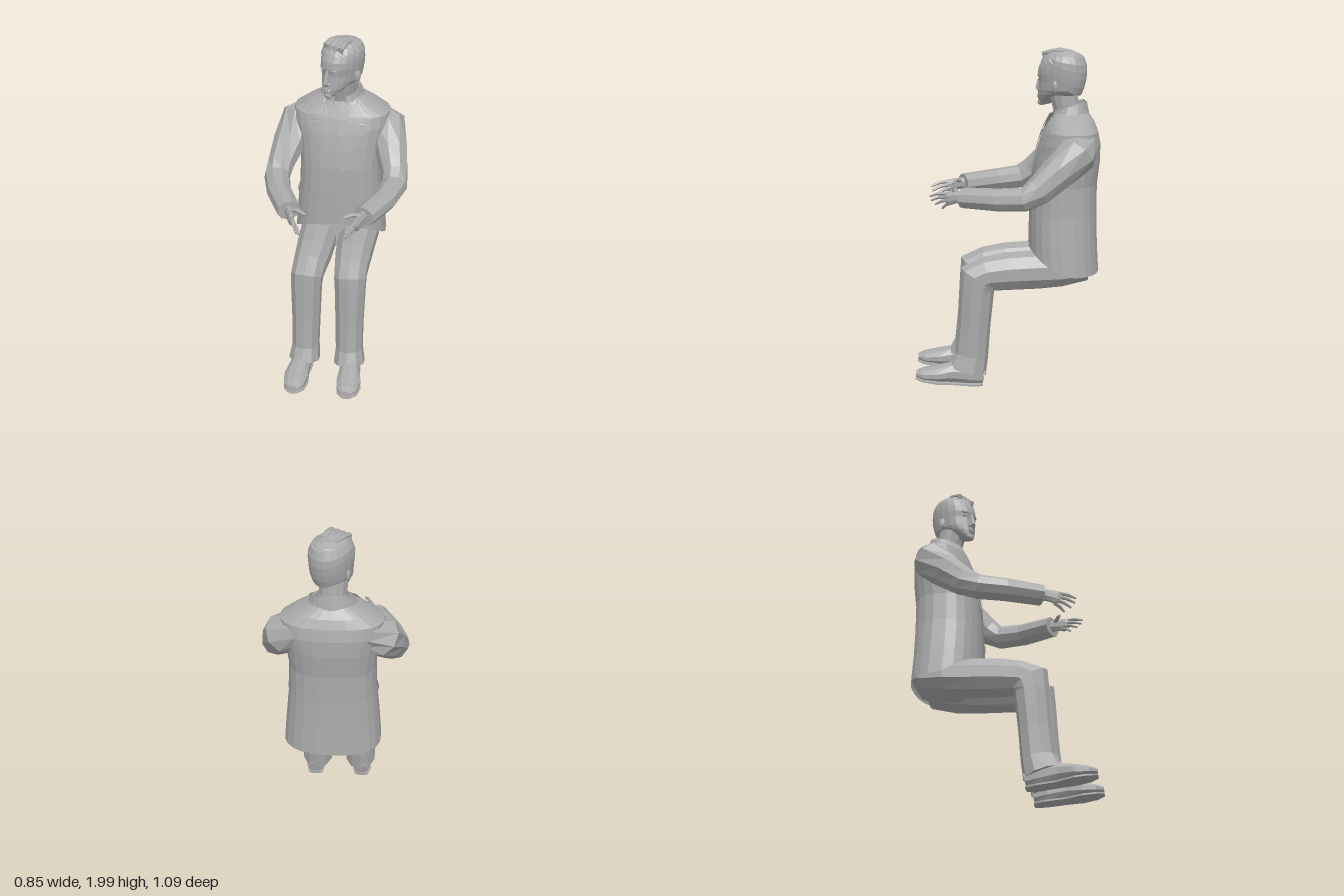
import * as THREE from 'three';
import { ParametricGeometry } from 'three/addons/geometries/ParametricGeometry.js';

const V = (x, y, z) => new THREE.Vector3(x, y, z);
const X = V(1, 0, 0), Y = V(0, 1, 0);
const lerp = THREE.MathUtils.lerp;
const spow = (a, p) => Math.sign(a) * Math.abs(a) ** p;
const front = t => Math.max(0, Math.cos(t));   // 1 at the front, 0 from the sides back

export function createModel() {
  const grey = new THREE.MeshStandardMaterial({ color: 0xaaaaaa, side: THREE.DoubleSide });
  const model = new THREE.Group();

  // faceted mesh
  const add = (geo, name, parent = model) => {
    const flat = geo.index ? geo.toNonIndexed() : geo;
    flat.computeVertexNormals();
    const mesh = new THREE.Mesh(flat, grey);
    mesh.name = name;
    parent.add(mesh);
    return mesh;
  };
  const patch = (nu, nv, fn) => new ParametricGeometry((u, v, out) => out.copy(fn(u, v)), nu, nv);

  // capped tube through [x, y, z, radius along hint, other radius]
  const limb = (path, hint, seg = 8) => {
    const rings = path.map((p, i) => {
      const a = path[Math.max(0, i - 1)], b = path[Math.min(path.length - 1, i + 1)];
      const t = V(b[0] - a[0], b[1] - a[1], b[2] - a[2]).normalize();
      const u = hint.clone().addScaledVector(t, -hint.dot(t)).normalize();
      const w = t.clone().cross(u);
      return { c: V(p[0], p[1], p[2]), u: u.multiplyScalar(p[3]), w: w.multiplyScalar(p[4] ?? p[3]) };
    });
    const tip = r => ({ c: r.c, u: V(0, 0, 0), w: V(0, 0, 0) });
    const all = [tip(rings[0]), ...rings, tip(rings[rings.length - 1])];
    return patch(seg, all.length - 1, (u, v) => {
      const r = all[Math.round(v * (all.length - 1))], a = (u + 0.5 / seg) * Math.PI * 2;
      return r.c.clone().addScaledVector(r.u, Math.cos(a)).addScaledVector(r.w, Math.sin(a));
    });
  };

  // upright body surface from rows [y, half width, back z, front z]
  const surface = (rows, p) => {
    const at = y => {
      let i = 0;
      while (i < rows.length - 2 && y > rows[i + 1][0]) i++;
      const a = rows[i], b = rows[i + 1];
      const k = THREE.MathUtils.clamp((y - a[0]) / (b[0] - a[0]), 0, 1);
      return a.map((n, j) => lerp(n, b[j], k));
    };
    const point = (y, t, off = 0) => {
      const [, w, b, f] = at(y);
      return V((w + off) * spow(Math.sin(t), p), y, (b + f) / 2 + ((f - b) / 2 + off) * spow(Math.cos(t), p));
    };
    const angle = (y, x) => Math.asin(Math.min(1, (x / at(y)[1]) ** (1 / p)));
    return { at, point, angle };
  };

  // jacket: [y, half width, back, front, front hem lift, half opening]
  const coat = [
    [0.70, 0.28, -0.545, -0.13, 0.14, 0.06], [0.86, 0.268, -0.535, -0.13, 0.04, 0.045],
    [1.05, 0.25, -0.53, -0.135, 0, 0.03], [1.22, 0.245, -0.53, -0.145, 0, 0.022],
    [1.36, 0.26, -0.545, -0.17, 0, 0.022], [1.46, 0.285, -0.545, -0.195, 0, 0.03],
    [1.53, 0.285, -0.53, -0.22, 0, 0.05], [1.58, 0.21, -0.51, -0.24, 0, 0.07], [1.63, 0.12, -0.475, -0.265, 0, 0.08],
  ];
  const body = surface(coat, 0.8);
  add(patch(22, coat.length - 1, (u, v) => {
    const r = coat[Math.round(v * (coat.length - 1))];
    const t0 = body.angle(r[0], r[5]), t = lerp(t0, Math.PI * 2 - t0, u);
    return body.point(r[0] + r[4] * front(t), t);
  }), 'jacket');
  add(patch(20, 8, (u, v) => body.point(lerp(0.84, 1.61, v), u * Math.PI * 2, -0.018)), 'shirt');

  // lapels with a notch, and pocket flaps
  const lapel = [[1.22, 0.026], [1.34, 0.085], [1.44, 0.14], [1.5, 0.175], [1.515, 0.13], [1.54, 0.17], [1.61, 0.118]];
  for (const s of [1, -1]) {
    add(patch(3, lapel.length - 1, (u, v) => {
      const [y, outer] = lapel[Math.round(v * (lapel.length - 1))];
      const q = body.point(y, body.angle(y, lerp(body.at(y)[5], outer, u)), 0.009);
      return V(q.x * s, q.y, q.z);
    }), 'lapel');
    add(patch(4, 1, (u, v) => {
      const q = body.point(lerp(0.985, 1.035, v), lerp(0.42, 1.45, u), 0.007);
      return V(q.x * s, q.y, q.z);
    }), 'pocketFlap');
  }

  // folded collars: [half width, half depth, back y, front drop]
  const collar = (rows, open, name) => add(patch(16, rows.length - 1, (u, v) => {
    const [w, d, y, drop] = rows[Math.round(v * (rows.length - 1))];
    const t = lerp(open, Math.PI * 2 - open, u);
    return V(w * Math.sin(t), y - drop * (1 + Math.cos(t)) / 2, -0.365 + d * Math.cos(t));
  }), name);
  collar([[0.14, 0.118, 1.615, 0.03], [0.118, 0.102, 1.69, 0.07], [0.1, 0.09, 1.65, 0.05]], 0.75, 'jacketCollar');
  collar([[0.112, 0.11, 1.63, 0.05], [0.09, 0.092, 1.7, 0.06], [0.082, 0.085, 1.64, 0.04]], 0.35, 'shirtCollar');

  // seat of the trousers
  add(limb([[0, 0.73, -0.52, 0.17, 0.04], [0, 0.74, -0.44, 0.23, 0.09], [0, 0.74, -0.3, 0.235, 0.11],
    [0, 0.76, -0.17, 0.2, 0.09]], X, 10), 'trouserSeat');

  for (const s of [1, -1]) {
    const side = s > 0 ? 'left' : 'right';
    const flip = path => path.map(([x, ...rest]) => [x * s, ...rest]);
    const part = (path, hint, name, seg) => add(limb(flip(path), hint, seg), side + name);

    // trouser leg
    part([[0.12, 0.72, -0.47, 0.1, 0.07], [0.12, 0.72, -0.32, 0.125, 0.11], [0.12, 0.715, -0.18, 0.118, 0.118],
      [0.121, 0.705, 0, 0.11, 0.115], [0.126, 0.69, 0.12, 0.1, 0.105], [0.13, 0.665, 0.165, 0.097, 0.125],
      [0.132, 0.6, 0.178, 0.093, 0.102], [0.132, 0.38, 0.196, 0.086, 0.097], [0.134, 0.2, 0.212, 0.083, 0.1],
      [0.138, 0.105, 0.24, 0.095, 0.117]], X, 'Leg', 10);
    // shoe and sole
    part([[0.146, 0.065, 0.14, 0.045, 0.045], [0.147, 0.085, 0.22, 0.06, 0.072], [0.153, 0.098, 0.33, 0.064, 0.064],
      [0.16, 0.092, 0.42, 0.076, 0.047], [0.16, 0.09, 0.5, 0.062, 0.034], [0.16, 0.092, 0.54, 0.03, 0.018]], X, 'Shoe', 10);
    part([[0.146, 0.022, 0.145, 0.045, 0.012], [0.148, 0.027, 0.21, 0.062, 0.013], [0.153, 0.037, 0.32, 0.06, 0.012],
      [0.16, 0.05, 0.42, 0.079, 0.012], [0.16, 0.06, 0.5, 0.064, 0.012], [0.16, 0.068, 0.543, 0.03, 0.01]], X, 'Sole', 8);

    // sleeve
    part([[0.18, 1.47, -0.42, 0.085, 0.1], [0.265, 1.42, -0.39, 0.115, 0.115], [0.305, 1.32, -0.28, 0.1, 0.1],
      [0.34, 1.225, -0.17, 0.084, 0.08], [0.35, 1.183, -0.09, 0.07, 0.077], [0.31, 1.172, 0.06, 0.066, 0.072],
      [0.215, 1.166, 0.255, 0.06, 0.07]], Y, 'Sleeve', 9);
    // palm, fingers and thumb
    part([[0.222, 1.168, 0.235, 0.035, 0.028], [0.205, 1.168, 0.285, 0.036, 0.022],
      [0.187, 1.158, 0.34, 0.042, 0.018], [0.18, 1.15, 0.357, 0.03, 0.012]], Y, 'Palm', 8);
    const tips = [[0.147, 1.162, 0.447], [0.14, 1.137, 0.44], [0.133, 1.112, 0.415], [0.13, 1.088, 0.375]];
    tips.forEach(([x, y, z], i) => {
      const base = [0.186 - i * 0.002, 1.185 - i * 0.019, 0.345 - i * 0.008];
      part([[...base, 0.011], [(base[0] + x) / 2 - 0.002, (base[1] + y) / 2 + 0.007, (base[2] + z) / 2 + 0.003, 0.01],
        [x, y, z, 0.006]], Y, 'Finger', 6);
    });
    part([[0.2, 1.185, 0.275, 0.014], [0.155, 1.2, 0.3, 0.012], [0.108, 1.185, 0.315, 0.007]], Y, 'Thumb', 6);
  }

  add(limb([[0, 1.56, -0.37, 0.085], [0, 1.64, -0.35, 0.077], [-0.005, 1.74, -0.33, 0.082]], X, 12), 'neck');

  // head, turned to its right
  const head = new THREE.Group();
  head.name = 'head';
  head.position.set(0.005, 0, -0.32);
  head.rotation.y = -Math.PI / 6;
  model.add(head);
  const skull = [[1.66, 0.035, -0.04, 0.132], [1.685, 0.066, -0.085, 0.145], [1.72, 0.084, -0.105, 0.147],
    [1.76, 0.097, -0.125, 0.142], [1.81, 0.104, -0.138, 0.137], [1.85, 0.109, -0.144, 0.145], [1.89, 0.111, -0.144, 0.138],
    [1.93, 0.106, -0.136, 0.117], [1.965, 0.083, -0.112, 0.085], [1.985, 0.045, -0.07, 0.045], [1.99, 0.001, -0.01, -0.008]];
  const face = surface(skull, 0.95);
  add(patch(20, skull.length, (u, v) => {
    const i = Math.round(v * skull.length), t = u * Math.PI * 2;
    if (i === 0) return V(0, 1.69, 0.02);
    const y = skull[i - 1][0];
    const lift = i < 4 ? (1 - front(t)) * [0.055, 0.045, 0.02][i - 1] : 0;   // jaw rises to the back
    const q = face.point(y, t);
    return V(q.x, y + lift, q.z);
  }), 'skull', head);
  // hair cap and swept tufts
  add(patch(20, 6, (u, v) => {
    const t = u * Math.PI * 2;
    const hairline = Math.cos(t) > 0 ? lerp(1.81, 1.935, front(t) ** 0.6) : lerp(1.81, 1.73, -Math.cos(t));
    const q = face.point(lerp(hairline, 1.99, v), t, 0.006);
    q.y += 0.006 * v;
    return q;
  }), 'hair', head);
  [-0.055, -0.02, 0.015, 0.05].forEach((x, i) => add(limb([[x, 1.94, 0.105 - Math.abs(x) * 0.4, 0.018, 0.006],
    [x + 0.008, 1.972, 0.09, 0.022, 0.012], [x * 0.9, 1.985, 0.03, 0.02, 0.011 + (i % 2) * 0.003],
    [x * 0.8, 1.982, -0.03, 0.014, 0.006]], X, 6), 'hairTuft', head));

  // face features
  const blob = (name, x, y, z, sx, sy, sz) => {
    const m = add(new THREE.SphereGeometry(1, 8, 6), name, head);
    m.position.set(x, y, z);
    m.scale.set(sx, sy, sz);
    return m;
  };
  add(limb([[0, 1.84, 0.137, 0.01, 0.008], [0, 1.8, 0.148, 0.012, 0.012], [0, 1.763, 0.155, 0.018, 0.016],
    [0, 1.748, 0.145, 0.014, 0.01]], X, 6), 'nose', head);
  blob('upperLip', 0, 1.722, 0.145, 0.028, 0.006, 0.01);
  blob('lowerLip', 0, 1.711, 0.144, 0.024, 0.007, 0.01);
  blob('chin', 0, 1.682, 0.132, 0.03, 0.02, 0.02);
  for (const s of [1, -1]) {
    blob('eye', s * 0.042, 1.82, 0.122, 0.017, 0.008, 0.008);
    blob('brow', s * 0.043, 1.842, 0.129, 0.026, 0.006, 0.009).rotation.y = s * 0.35;
    blob('nostril', s * 0.015, 1.756, 0.143, 0.009, 0.009, 0.012);
    blob('ear', s * 0.108, 1.785, -0.005, 0.012, 0.036, 0.022).rotation.y = s * -0.35;
  }
  return model;
}
